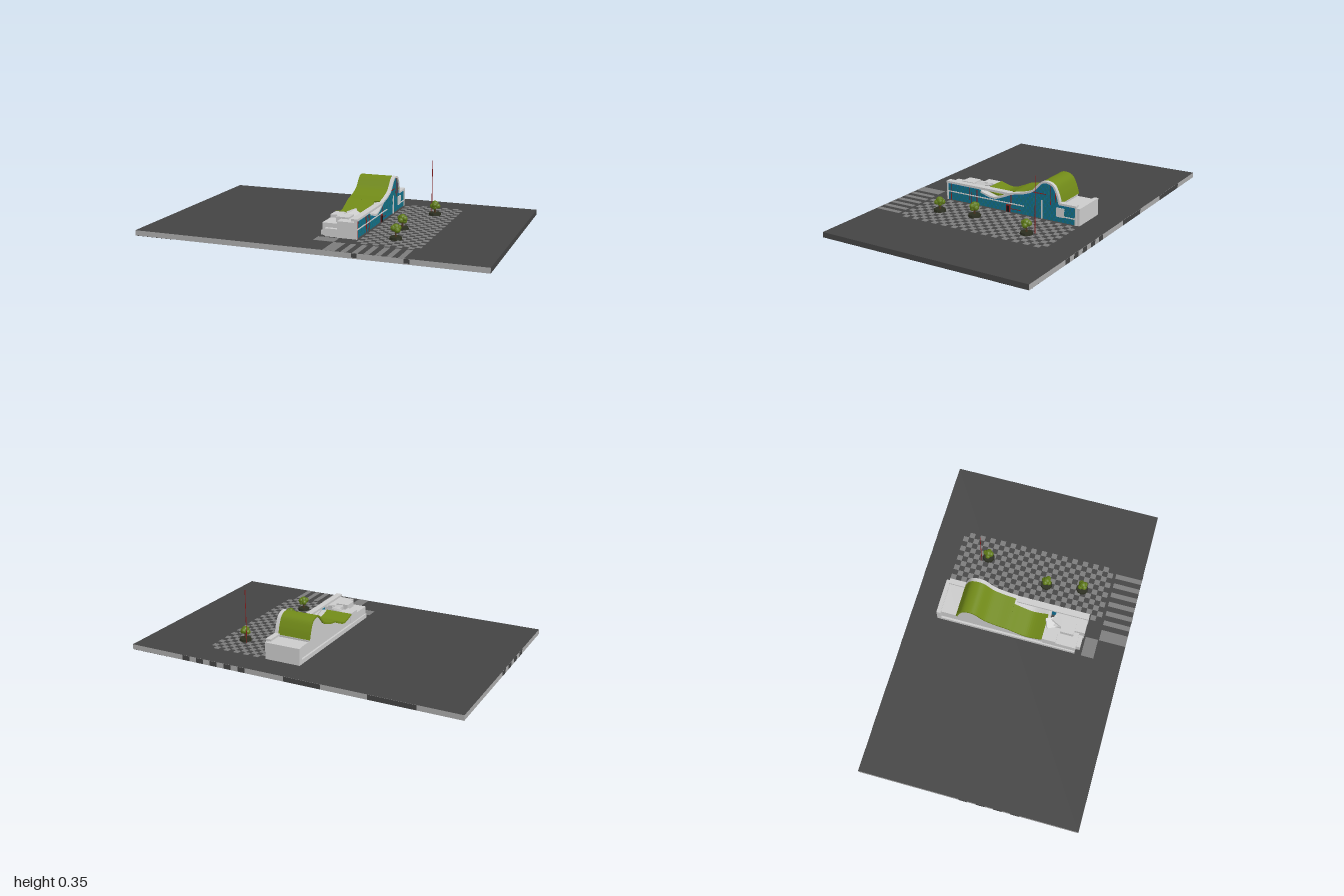
import * as THREE from 'three';
import { mergeGeometries } from 'three/addons/utils/BufferGeometryUtils.js';

const mat = (color, flat = false) => new THREE.MeshStandardMaterial({ color, flatShading: flat });
const WHITE = mat(0xcccccc), ASPHALT = mat(0x444444), PAVE = mat(0x7c7c7c), EDGE = mat(0xaaaaaa);
const GREEN = mat(0x718a18), BLUE = mat(0x0f6f95), TEAL = mat(0x17707a), RED = mat(0x8a1c1c);
const BLACK = mat(0x151515), LEAF = mat(0x5f7a18, true), BARK = mat(0x4a3520, true), UNDER = mat(0x666666);
const GROUND = 0.03;

export function createModel() {
  const root = new THREE.Group();
  const add = (name, geo, material, parent = root) => {
    const m = new THREE.Mesh(geo, material);
    m.name = name;
    parent.add(m);
    return m;
  };
  // Box given by its minimum and maximum corners
  const boxGeo = (x0, x1, y0, y1, z0, z1) =>
    new THREE.BoxGeometry(x1 - x0, y1 - y0, z1 - z0).translate((x0 + x1) / 2, (y0 + y1) / 2, (z0 + z1) / 2);
  const box = (name, material, ...b) => add(name, boxGeo(...b), material);
  // Side outline of [-z, y] points, extruded from x0 to x1
  const slab = (name, pts, x0, x1, material) => {
    const shape = new THREE.Shape(pts.map(p => new THREE.Vector2(p[0], p[1])));
    const geo = new THREE.ExtrudeGeometry(shape, { depth: x1 - x0, bevelEnabled: false });
    return add(name, geo.rotateY(Math.PI / 2).translate(x0, 0, 0), material);
  };

  // Ground plate: dark top and right edge, pale other edges
  add('groundPlate', boxGeo(-1, 1, 0, GROUND, -0.64, 0.64), [ASPHALT, EDGE, ASPHALT, UNDER, EDGE, EDGE]);
  for (const [x0, x1] of [[0.28, 0.31], [0.56, 0.59]])
    box('frontEdgePatch', ASPHALT, x0, x1, 0.006, 0.029, 0.63, 0.641);
  for (const [x0, x1] of [[-0.75, -0.48], [-0.21, 0.01]])
    box('backEdgePatch', ASPHALT, x0, x1, 0.001, 0.029, -0.641, -0.63);
  for (let i = 0; i < 5; i++) {
    box('backEdgeCheck', ASPHALT, 0.25 + i * 0.09, 0.295 + i * 0.09, 0.001, 0.029, -0.641, -0.63);
    if (i < 4) box('leftEdgeCheck', ASPHALT, -1.001, -0.99, 0.001, 0.029, -0.05 + i * 0.1, i * 0.1);
  }
  box('undersidePatch', BLACK, 0.76, 0.999, -0.001, 0.005, -0.639, -0.44);
  box('undersidePatch', BLACK, -0.999, -0.77, -0.001, 0.005, 0.45, 0.639);
  for (let i = 0; i < 4; i++) {
    const z = -0.34 + i * 0.16;
    box('undersideStripe', BLACK, 0.72, 0.97, -0.001, 0.005, z, z + 0.08);
  }

  // Checkered plaza
  const tiles = [], cell = 0.0325;
  for (let i = 0; i < 11; i++)
    for (let j = 0; j < 29; j++)
      if ((i + j) % 2) {
        const x = 0.232 + i * cell, z = -0.48 + j * cell;
        tiles.push(boxGeo(x, x + cell, GROUND - 0.004, GROUND + 0.001, z, z + cell));
      }
  add('plazaTiles', mergeGeometries(tiles), PAVE);
  box('frontPaving', PAVE, 0, 0.12, 0.026, GROUND + 0.001, 0.4, 0.475);
  box('crossingStripe', PAVE, 0.12, 0.187, 0.026, GROUND + 0.001, 0.48, 0.64);
  for (let i = 0; i < 6; i++)
    box('crossingStripe', PAVE, 0.22 + i * 0.062, 0.25 + i * 0.062, 0.026, GROUND + 0.001, 0.48, 0.64);

  // Wavy roof line as [-z, y]: a valley followed by a tall hump
  const curve = new THREE.SplineCurve([
    [-0.155, 0.118], [-0.07, 0.098], [0, 0.12], [0.05, 0.142], [0.12, 0.157], [0.185, 0.183],
    [0.24, 0.237], [0.28, 0.247], [0.32, 0.231], [0.345, 0.185], [0.36, 0.135],
  ].map(p => new THREE.Vector2(...p)));
  const wave = curve.getPoints(70).map(p => [p.x, p.y]);
  // Band of thickness t lying below the line, measured along its normal
  const band = (line, t, lift = 0) => {
    const offset = d => line.map((p, i) => {
      const a = line[Math.max(i - 1, 0)], b = line[Math.min(i + 1, line.length - 1)];
      const dx = b[0] - a[0], dy = b[1] - a[1], l = Math.hypot(dx, dy);
      return [p[0] - dy / l * d, p[1] + dx / l * d];
    });
    return [...offset(lift - t), ...offset(lift).reverse()];
  };
  const lowered = wave.map(([u, y]) => [u, y - 0.008]);

  // Main body under the roof
  slab('mainBody', [[-0.17, GROUND], [0.46, GROUND], [0.46, 0.122], [0.358, 0.122],
    ...lowered.slice(0, -1).reverse(), [-0.17, 0.11]], 0.012, 0.204, WHITE);
  slab('greenRoofHump', band(wave.filter(p => p[0] > 0.045), 0.01, 0.002), 0.004, 0.216, GREEN);
  slab('greenRoofValley', band(wave.filter(p => p[0] < 0.055), 0.01, 0.002), 0.004, 0.165, GREEN);
  box('baseLedge', WHITE, 0, 0.03, GROUND, 0.055, -0.48, 0.36);
  box('rearLedge', WHITE, 0, 0.215, GROUND, 0.128, -0.48, -0.455);

  // Terraced front wing
  box('frontLowBlock', WHITE, 0.008, 0.11, GROUND, 0.1, 0.16, 0.36);
  box('frontMidBlock', WHITE, 0.03, 0.13, GROUND, 0.075, 0.3, 0.385);
  box('frontTallBlock', WHITE, 0.105, 0.204, GROUND, 0.122, 0.2, 0.39);
  box('roofBox', WHITE, 0.075, 0.15, 0.1, 0.132, 0.25, 0.33);
  box('leftTerrace', WHITE, 0.008, 0.07, GROUND, 0.118, 0.16, 0.24);
  for (const [x, z, r] of [[0.12, 0.19, 0.5], [0.145, 0.225, -0.4]]) {
    const facet = add('angledCanopy', new THREE.BoxGeometry(0.06, 0.012, 0.07), WHITE);
    facet.position.set(x, 0.122, z);
    facet.rotation.set(0.2, r, r * 0.5);
  }

  // Glass facade with checkered panes
  slab('glassFacade', [[-0.385, GROUND], [0.455, GROUND], [0.455, 0.136], [0.361, 0.136],
    ...lowered.slice(0, -1).reverse(), [-0.19, 0.136], [-0.385, 0.136]], 0.204, 0.214, BLUE);
  const topAt = u => {
    if (u < -0.155 || u > 0.36) return 0.135;
    const i = wave.findIndex(p => p[0] >= u);
    return wave[Math.max(i, 0)][1] - 0.01;
  };
  const panes = [], w = 0.014, h = 0.018;
  for (let i = 0; i < 60; i++)
    for (let j = 0; j < 12; j++) {
      const u = -0.385 + i * w, y = GROUND + j * h;
      if ((i + j) % 2 && y + h < Math.min(topAt(u), topAt(u + w)))
        panes.push(boxGeo(0.21, 0.2148, y, y + h, -u - w, -u));
    }
  add('tintedPanes', mergeGeometries(panes), TEAL);

  // Pale frame around the glass
  slab('waveTrim', band(wave, 0.011, 0.003), 0.2, 0.222, WHITE);
  box('parapetBeam', WHITE, 0.185, 0.222, 0.129, 0.142, -0.04, 0.392);
  box('rearBeam', WHITE, 0.19, 0.222, 0.13, 0.142, -0.46, -0.352);
  box('middleRail', WHITE, 0.21, 0.218, 0.077, 0.083, -0.13, 0.385);
  box('rearRail', WHITE, 0.21, 0.218, 0.062, 0.068, -0.455, -0.34);
  box('wallPanel', WHITE, 0.21, 0.219, 0.06, 0.112, -0.385, -0.335);
  for (const z of [0.388, -0.245, -0.457])
    box('facadePost', WHITE, 0.203, 0.22, GROUND, 0.138, z - 0.004, z + 0.004);

  // Red mullions and door
  for (const [z, y0, y1] of [[0.365, 0.03, 0.13], [0.235, 0.05, 0.13], [0.185, 0.03, 0.12],
    [0.225, 0.03, 0.1], [-0.045, 0.07, 0.13], [-0.3, 0.12, 0.235], [-0.33, 0.14, 0.2]])
    box('redMullion', RED, 0.212, 0.217, y0, y1, z - 0.0015, z + 0.0015);
  box('redCrossbar', RED, 0.212, 0.217, 0.172, 0.176, -0.27, -0.19);
  box('redCrossbar', RED, 0.212, 0.217, 0.048, 0.051, -0.11, -0.04);
  box('doorFrame', RED, 0.21, 0.221, GROUND, 0.072, -0.04, -0.014);
  box('door', BLACK, 0.212, 0.223, GROUND, 0.066, -0.036, -0.018);

  // Trees in low round planters
  for (const [x, z, turn] of [[0.46, -0.295, 0], [0.38, 0.09, 1.2], [0.41, 0.305, 2.3]]) {
    const tree = new THREE.Group();
    tree.name = 'tree';
    tree.position.set(x, GROUND, z);
    tree.rotation.y = turn;
    root.add(tree);
    add('planter', new THREE.CylinderGeometry(0.034, 0.036, 0.014, 10).translate(0, 0.007, 0), mat(0x2b2e20, true), tree);
    add('trunk', new THREE.CylinderGeometry(0.004, 0.006, 0.045, 6).translate(0, 0.033, 0), BARK, tree);
    const blobs = [[0, 0.066, 0, 0.021], [0, 0.048, 0.015, 0.013]];
    for (let i = 0; i < 4; i++) {
      const a = i * Math.PI / 2;
      blobs.push([Math.cos(a) * 0.016, 0.054 + (i % 2) * 0.009, Math.sin(a) * 0.016, 0.016]);
    }
    for (const [bx, by, bz, r] of blobs)
      add('foliage', new THREE.IcosahedronGeometry(r, 1).translate(bx, by, bz), LEAF, tree);
  }

  // Tall slim pole on the plaza
  add('pole', new THREE.CylinderGeometry(0.002, 0.002, 0.32, 8).translate(0.43, 0.19, -0.33), RED);

  return root;
}
